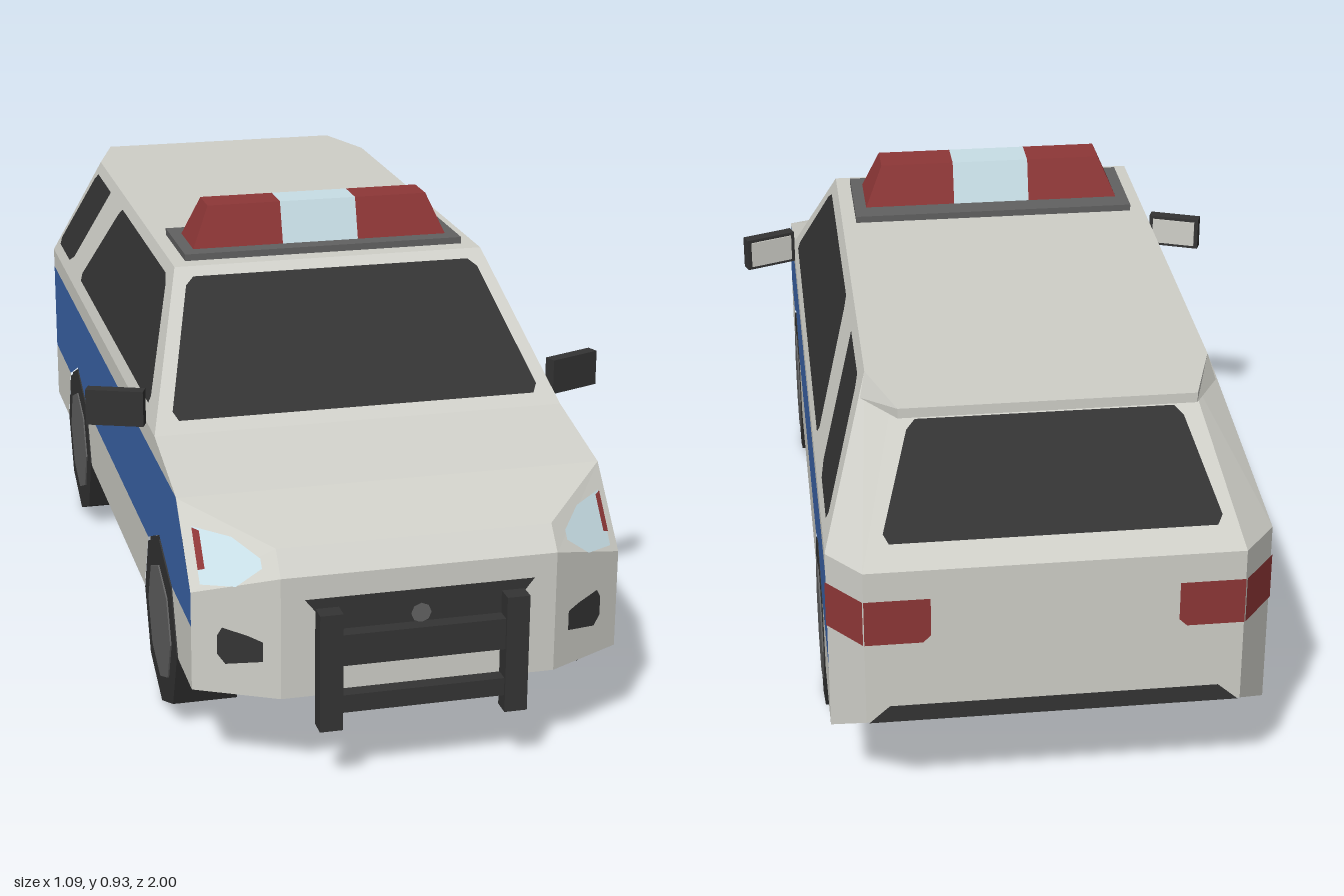
import * as THREE from 'three';

const mat = (name, color) => Object.assign(new THREE.MeshStandardMaterial({ color, flatShading: true }), { name });
const M = {
  body: mat('body silver', 0xd0d0c9),
  blue: mat('stripe blue', 0x3c66ac),
  black: mat('black trim', 0x343434),
  glass: mat('dark glass', 0x333333),
  red: mat('signal red', 0x8e3737),
  lamp: mat('lamp glass', 0xcde4ec),
  grey: mat('hub grey', 0x626262),
};

const V = (p) => new THREE.Vector3(...p);
const flip = (pts) => pts.map(([x, y, z]) => [-x, y, z]);

// Completes a symmetric outline from its left half
const sym = (pts) => [...pts, ...flip(pts).reverse()];

// Flat polygon, turned to face `out` (default: away from the car's middle), raised by `lift`
function face(name, material, points, { out, lift = 0 } = {}) {
  const pts = points.map(V);
  const n = new THREE.Vector3(), mid = new THREE.Vector3();
  pts.forEach((p, i) => {
    n.add(p.clone().cross(pts[(i + 1) % pts.length]));
    mid.addScaledVector(p, 1 / pts.length);
  });
  n.normalize();
  const dir = out ? V(out) : mid.clone().sub(new THREE.Vector3(0, 0.45, 0));
  if (n.dot(dir) < 0) { pts.reverse(); n.negate(); }
  const a = n.toArray().map(Math.abs), k = a.indexOf(Math.max(...a));
  const flat = pts.map((p) => {
    const c = p.toArray();
    const u = c[(k + 1) % 3], v = c[(k + 2) % 3];
    return n.getComponent(k) > 0 ? new THREE.Vector2(u, v) : new THREE.Vector2(v, u);
  });
  const g = new THREE.BufferGeometry().setFromPoints(pts.map((p) => p.addScaledVector(n, lift)));
  g.setIndex(THREE.ShapeUtils.triangulateShape(flat, []).flat());
  const flatG = g.toNonIndexed();
  flatG.computeVertexNormals();
  const mesh = new THREE.Mesh(flatG, material);
  mesh.name = name;
  return mesh;
}

// Fills in the missing coordinate so that points lie on the plane of three corners
function onPlane([a, b, c], axis, pts) {
  const pl = new THREE.Plane().setFromCoplanarPoints(V(a), V(b), V(c));
  return pts.map((p) => {
    const q = [...p];
    q.splice(axis, 0, 0);
    q[axis] = -(pl.normal.dot(V(q)) + pl.constant) / pl.normal.getComponent(axis);
    return q;
  });
}

function box(name, material, w, h, d, x, y, z) {
  const m = new THREE.Mesh(new THREE.BoxGeometry(w, h, d), material);
  m.position.set(x, y, z);
  m.name = name;
  return m;
}

export function createModel() {
  const car = new THREE.Group();
  car.name = 'patrolCar';
  const one = (...args) => car.add(face(...args));
  const pair = (name, m, pts, opt) => {
    one(name + 'Left', m, pts, opt);
    one(name + 'Right', m, flip(pts), opt);
  };
  const W = 0.425, AXLES = [0.555, -0.545], AY = 0.18, AR = 0.187, AD = 0.132;

  // Key corners, left side
  const cowl = [W, 0.565, 0.525], hoodSide = [W, 0.52, 0.75];
  const hoodNose = [0.27, 0.47, 0.92], nose = [0.27, 0.425, 0.96], noseSide = [W, 0.38, 0.88];
  const noseLow = [0.27, 0.18, 0.96], sideLowF = [W, 0.18, 0.88], sideLowR = [W, 0.18, -0.92];
  const beltSide = [W, 0.565, -0.92], beltRear = [0.36, 0.565, -1], rearLow = [0.36, 0.235, -1];
  const roofF = [0.33, 0.835, 0.26], roofSide = [0.33, 0.835, -0.71], roofRear = [0.28, 0.835, -0.78];
  const tail = [0.28, 0.835, -0.87], tailLow = [0.28, 0.815, -0.87], tailRoot = [0.343, 0.795, -0.74];

  // Hood, nose and tail
  one('hood', M.body, sym([cowl, hoodSide]));
  one('hoodFront', M.body, sym([hoodSide, hoodNose]));
  one('hoodLip', M.body, sym([hoodNose, nose]));
  one('frontBumper', M.body, sym([nose, noseLow]));
  one('tailgate', M.body, sym([beltRear, rearLow]));
  one('rearSill', M.black, sym([rearLow, sideLowR]));
  one('rearBumperTrim', M.black, sym([[0.315, 0.272, -1], [0.355, 0.236, -1]]), { lift: 0.004 });
  one('floor', M.black, sym([noseLow, sideLowF, sideLowR]));
  pair('headlightPanel', M.body, [hoodSide, hoodNose, nose, noseSide]);
  pair('frontCorner', M.body, [nose, noseSide, sideLowF, noseLow]);
  pair('rearCorner', M.body, [beltSide, beltRear, rearLow, sideLowR]);

  // Sides with octagonal wheel arches
  const side = (list) => list.map(([z, y]) => [W, y, z]);
  const low = [[0.88, 0.31], [0.88, AY]], stripe = [[0.745, 0.52], [0.88, 0.38], [0.88, 0.31]];
  for (const z of AXLES) {
    low.push([z + AR, AY], [z + AD, 0.31], [z - AD, 0.31], [z - AR, AY]);
    stripe.push([z + AD, 0.31], [z, AY + AR], [z - AD, 0.31]);
  }
  const edges = [0.88, AXLES[0] + AR, AXLES[0] - AR, AXLES[1] + AR, AXLES[1] - AR, -0.92];
  for (let i = 0; i < 6; i += 2) {
    const f = i ? edges[i] + AR - AD : edges[i], r = i < 4 ? edges[i + 1] - AR + AD : edges[i + 1];
    pair('rocker' + i / 2, M.body, side([[f, 0.31], [edges[i], AY], [edges[i + 1], AY], [r, 0.31]]));
  }
  pair('sideStripe', M.blue, side([...stripe, [-0.92, 0.31], [-0.92, 0.52]]), {});
  pair('beltLine', M.body, side([[0.525, 0.565], [0.75, 0.52], [-0.92, 0.52], [-0.92, 0.565]]));

  // Cabin
  one('windshieldFrame', M.body, sym([cowl, roofF]));
  one('roof', M.body, sym([roofF, roofSide, tail]));
  one('rearFrame', M.body, sym([beltRear, roofRear]));
  pair('cabinSide', M.body, [cowl, roofF, roofSide, beltSide]);
  pair('rearPillar', M.body, [beltSide, roofSide, roofRear, beltRear]);
  one('spoilerEdge', M.body, sym([tail, tailLow]));
  one('spoilerUnderside', M.body, sym([tailLow, tailRoot]), { out: [0, -1, 0] });
  pair('spoilerSide', M.body, [roofSide, tail, tailLow, tailRoot]);

  // Windows
  const lift = 0.004;
  const shield = onPlane([cowl, roofF, flip([roofF])[0]], 2,
    [[0.295, 0.816], [0.313, 0.802], [0.382, 0.6], [0.372, 0.585]]);
  one('windshield', M.glass, sym(shield), { lift });
  const rear = onPlane([beltRear, roofRear, flip([roofRear])[0]], 2,
    [[0.245, 0.785], [0.262, 0.77], [0.318, 0.62], [0.308, 0.605]]);
  one('rearWindow', M.glass, sym(rear), { lift });
  const sidePlane = [cowl, roofF, roofSide];
  pair('frontSideWindow', M.glass, onPlane(sidePlane, 0, [[0.597, 0.415], [0.612, 0.418], [0.795, 0.25],
    [0.812, 0.22], [0.812, -0.32], [0.795, -0.345], [0.612, -0.51], [0.597, -0.5]]), { lift });
  pair('rearSideWindow', M.glass, onPlane(sidePlane, 0, [[0.812, -0.487], [0.812, -0.675], [0.795, -0.7],
    [0.612, -0.852], [0.597, -0.845], [0.597, -0.69], [0.615, -0.65]]), { lift });

  // Lamps
  const lampPlane = [hoodSide, hoodNose, nose];
  pair('headlight', M.lamp, onPlane(lampPlane, 2, [[0.405, 0.48], [0.34, 0.475], [0.297, 0.45],
    [0.297, 0.435], [0.345, 0.4], [0.405, 0.393]]), { lift });
  pair('headlightMarker', M.red, onPlane(lampPlane, 2,
    [[0.392, 0.475], [0.404, 0.478], [0.404, 0.414], [0.392, 0.418]]), { lift: 0.007 });
  pair('fogLamp', M.black, onPlane([nose, noseSide, noseLow], 2, [[0.3, 0.295], [0.325, 0.305], [0.37, 0.317],
    [0.379, 0.3], [0.379, 0.262], [0.365, 0.243], [0.3, 0.255]]), { lift });
  pair('tailLightCorner', M.red, [[W, 0.505, -0.92], [W, 0.41, -0.92], [0.36, 0.41, -1], [0.36, 0.505, -1]], { lift: 0.003 });
  pair('tailLight', M.red, [[0.36, 0.505, -1], [0.36, 0.41, -1], [0.25, 0.41, -1], [0.235, 0.425, -1],
    [0.235, 0.505, -1]], { lift: 0.003 });

  // Grille and push bar
  one('grille', M.black, sym([[0.225, 0.38, 0.96], [0.205, 0.355, 0.96], [0.17, 0.28, 0.96]]), { lift });
  const disc = new THREE.Mesh(new THREE.CircleGeometry(0.02, 8), M.grey);
  disc.position.set(0, 0.333, 0.968);
  disc.name = 'grilleDisc';
  car.add(disc);
  for (const s of [1, -1]) car.add(box('pushBarPost', M.black, 0.045, 0.238, 0.038, s * 0.182, 0.241, 0.981));
  car.add(box('pushBarUpper', M.black, 0.33, 0.063, 0.03, 0, 0.283, 0.979));
  car.add(box('pushBarLower', M.black, 0.33, 0.036, 0.03, 0, 0.173, 0.979));

  // Wheels and mirrors
  for (const s of [1, -1]) {
    for (const z of AXLES) {
      const wheel = new THREE.Group();
      wheel.name = 'wheel';
      const tire = new THREE.Mesh(new THREE.CylinderGeometry(0.178, 0.178, 0.13, 8).rotateZ(Math.PI / 2), M.black);
      tire.position.x = s * 0.361;
      tire.name = 'tire';
      const hub = new THREE.Mesh(new THREE.CylinderGeometry(0.122, 0.122, 0.01, 8).rotateZ(Math.PI / 2), M.grey);
      hub.position.x = s * 0.424;
      hub.name = 'hub';
      const well = new THREE.Mesh(new THREE.CircleGeometry(AR, 4, 0, Math.PI).rotateY(s * Math.PI / 2), M.black);
      well.position.x = s * 0.42;
      well.name = 'wheelWell';
      wheel.add(tire, hub, well);
      wheel.position.set(0, 0.179, z);
      car.add(wheel);
    }
    const mirror = new THREE.Group();
    mirror.name = 'mirror';
    mirror.add(box('mirrorHousing', M.black, 0.118, 0.074, 0.026, 0, 0, 0));
    mirror.add(box('mirrorGlass', M.body, 0.1, 0.06, 0.004, 0, 0, -0.014));
    mirror.position.set(s * 0.485, 0.598, 0.42);
    mirror.rotation.y = s * 0.37;
    car.add(mirror);
  }

  // Light bar: tapered blocks on a base plate
  car.add(box('lightBarBase', M.grey, 0.6, 0.014, 0.22, 0, 0.842, 0.11));
  const ring = (x, y, z0, z1) => [[x, y, z0], [x, y, z1]];
  const bar = (name, m, bottom, top) => {
    const [b0, b1, b2, b3] = bottom, [t0, t1, t2, t3] = top;
    one(name + 'Top', m, top, { out: [0, 1, 0] });
    one(name + 'Front', m, [b1, b2, t2, t1], { out: [0, 0, 1] });
    one(name + 'Back', m, [b3, b0, t0, t3], { out: [0, 0, -1] });
    return [b0, b1, t1, t0];
  };
  const quad = (xa, xb, y, z0, z1) => [...ring(xa, y, z0, z1), ...ring(xb, y, z0, z1).reverse()];
  bar('lightBarCentre', M.lamp, quad(0.082, -0.082, 0.849, 0.05, 0.182), quad(0.082, -0.082, 0.934, 0.078, 0.155));
  for (const s of [1, -1]) {
    const end = bar('lightBarRed', M.red, quad(s * 0.275, s * 0.082, 0.849, 0.05, 0.182),
      quad(s * 0.238, s * 0.082, 0.934, 0.078, 0.155));
    one('lightBarEnd', M.red, end, { out: [s, 0, 0] });
  }
  return car;
}
